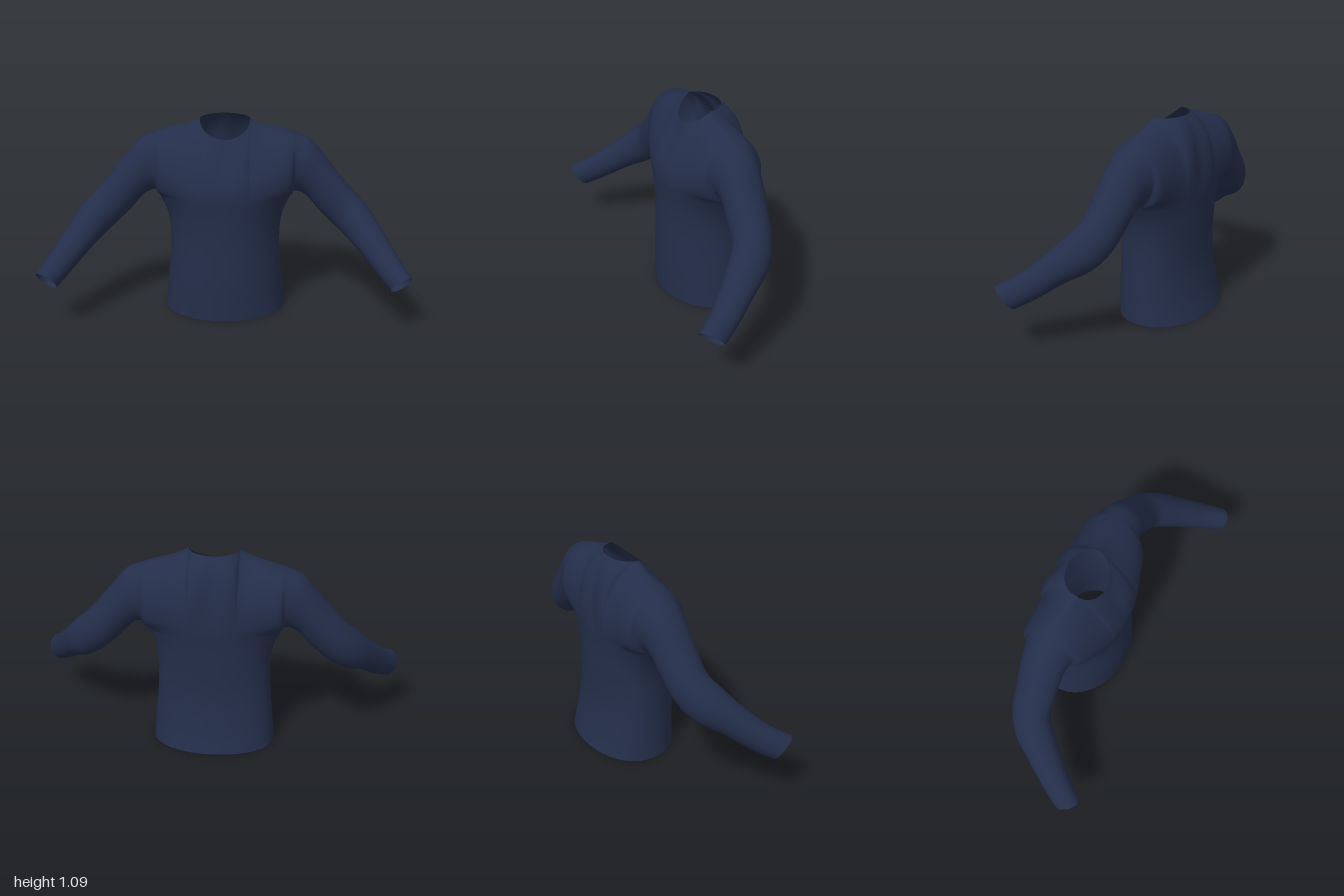
import * as THREE from 'three';
import { mergeVertices } from 'three/addons/utils/BufferGeometryUtils.js';

const NECK = 0.135, ARMPIT = 0.37, ARMPIT_Y = 0.68, MID_Z = -0.1, STEPS = 16;
const V = (x, y, z) => new THREE.Vector3(x, y, z);
const curve = (pts) => new THREE.CatmullRomCurve3(pts.map((p) => V(...p)), false, 'catmullrom');
const lerp = THREE.MathUtils.lerp;

// piecewise linear lookup in [[x, value], ...]
function lookup(table, x) {
  for (let i = 1; i < table.length; i++) {
    const [x0, a] = table[i - 1], [x1, b] = table[i];
    if (x <= x1) return lerp(a, b, (x - x0) / (x1 - x0));
  }
  return table[table.length - 1][1];
}

// body rings, evenly spaced from hem to armpit: half width, front z, back z
const bodyCurve = curve([
  [0.33, 0.155, -0.335], [0.322, 0.157, -0.31], [0.315, 0.16, -0.293],
  [0.307, 0.16, -0.28], [0.302, 0.157, -0.275], [0.3, 0.155, -0.276],
  [0.306, 0.155, -0.28], [0.327, 0.158, -0.283], [ARMPIT, 0.165, -0.29],
]);

// column positions: finer at the neck edge and at the sides
const half = [];
for (let i = 0; i <= 7; i++) half.push(NECK * Math.sin((Math.PI / 2) * i / 7));
for (let i = 1; i <= 11; i++) half.push(NECK + (ARMPIT - NECK) * Math.sin((Math.PI / 2) * i / 11));
const columns = [...half.slice(1).reverse().map((x) => -x), ...half];

// point on a body ring; side is +1 for the front, -1 for the back
function bodyPoint(x, t, side) {
  const r = bodyCurve.getPoint(t);
  const f = Math.min(1, Math.abs(x) / ARMPIT);
  const edge = side > 0 ? r.y : r.z;
  const depth = Math.pow(Math.max(0, 1 - f * f), side > 0 ? 0.5 : 0.42);
  return V(Math.sign(x) * f * r.x, t * ARMPIT_Y, MID_Z + (edge - MID_Z) * depth);
}

// curved column from armpit height to the collar or shoulder ridge
function upperPoint(x, s, side) {
  const ax = Math.abs(x), f = ax / ARMPIT, k = f ** 3;
  const p0 = bodyPoint(x, 1, side);
  let topY, topZ;
  if (ax < NECK) {
    const n = Math.sqrt(1 - (ax / NECK) ** 2);
    topY = side > 0 ? 1.09 - 0.088 * n : 1.09;
    topZ = -0.073 + 0.108 * n * side;
  } else {
    topY = lookup([[NECK, 1.09], [0.2, 1.062], [0.3, 1.033], [ARMPIT, 1.008]], ax);
    topZ = lookup([[NECK, -0.073], [ARMPIT, MID_Z]], ax);
  }
  const outZ = side > 0
    ? lookup([[0, 0.03], [NECK, 0.1], [ARMPIT, 0.18]], ax)
    : lookup([[0, -0.105], [NECK, -0.18], [ARMPIT, -0.18]], ax);
  const down = side > 0
    ? lookup([[0, 0.1], [NECK, 0.09], [ARMPIT, 0]], ax)
    : lookup([[0, 0.1], [NECK, 0.06], [ARMPIT, 0]], ax);
  const p1 = V(x, p0.y + lerp(0.13, 0, k), p0.z + side * lerp(0.01, 0.18, k));
  const p = new THREE.CubicBezierCurve3(p0, p1, V(x, topY - down, topZ + outZ), V(x, topY, topZ)).getPoint(s);
  // shallow groove along the spine
  if (side < 0) p.z += 0.014 * Math.sin(Math.PI * s) * Math.exp(-((x / 0.06) ** 2));
  return p;
}

// sleeve rings from shoulder to cuff: centre, upward radius, forward radius
const sleeveCentre = curve([
  [ARMPIT, 0.844, -0.1], [0.43, 0.825, -0.097], [0.49, 0.77, -0.093], [0.56, 0.685, -0.085],
  [0.645, 0.595, -0.07], [0.72, 0.525, -0.02], [0.8, 0.44, 0.08], [0.88, 0.35, 0.19], [0.94, 0.29, 0.287],
]);
const sleeveUp = curve([
  [0, 0.164, 0], [0.03, 0.145, 0], [0.045, 0.116, 0], [0.05, 0.105, 0],
  [0.046, 0.1, 0.015], [0.035, 0.092, 0.038], [0.03, 0.068, 0.04], [0.025, 0.06, 0.04], [0.022, 0.056, 0.044],
]);
const sleeveForward = curve([
  [0, 0, 0.135], [0, 0, 0.12], [0, 0, 0.113], [0, 0, 0.109],
  [-0.025, 0, 0.1], [-0.06, 0, 0.08], [-0.065, 0, 0.056], [-0.058, 0, 0.045], [-0.052, 0, 0.04],
]);

function sleeveRing(t) {
  const c = sleeveCentre.getPoint(t), up = sleeveUp.getPoint(t), fwd = sleeveForward.getPoint(t);
  const ring = [];
  for (let j = 0; j <= 2 * STEPS; j++) {
    const a = Math.PI * j / STEPS;
    ring.push(c.clone().addScaledVector(up, -Math.cos(a)).addScaledVector(fwd, Math.sin(a)));
  }
  return ring;
}

// skins rows of points into triangles
function skin(out, rows, flip) {
  const tri = (a, b, c) => (flip ? [a, c, b] : [a, b, c]).forEach((p) => out.push(p.x, p.y, p.z));
  for (let i = 0; i + 1 < rows.length; i++) {
    for (let j = 0; j + 1 < rows[i].length; j++) {
      const a = rows[i][j], b = rows[i][j + 1], c = rows[i + 1][j + 1], d = rows[i + 1][j];
      tri(a, b, c);
      tri(a, c, d);
    }
  }
}

export function createModel() {
  const navy = new THREE.MeshStandardMaterial({ color: 0x242e4a, side: THREE.DoubleSide });
  navy.name = 'navy cloth';
  const out = [];

  // front and back of the body, hem to collar
  for (const side of [1, -1]) {
    const rows = [];
    for (let i = 0; i < 24; i++) rows.push(columns.map((x) => bodyPoint(x, i / 24, side)));
    for (let j = 0; j <= STEPS; j++) rows.push(columns.map((x) => upperPoint(x, j / STEPS, side)));
    skin(out, rows, side < 0);
  }

  // sleeves, welded to the armhole columns
  const armhole = [];
  for (let j = 0; j <= STEPS; j++) armhole.push(upperPoint(ARMPIT, j / STEPS, 1));
  for (let j = STEPS - 1; j >= 0; j--) armhole.push(upperPoint(ARMPIT, j / STEPS, -1));
  const rings = [armhole];
  for (let i = 1; i <= 40; i++) rings.push(sleeveRing(i / 40));
  skin(out, rings, true);
  skin(out, rings.map((r) => r.map((p) => V(-p.x, p.y, p.z))), false);

  // one continuous smooth cloth
  let geometry = new THREE.BufferGeometry();
  geometry.setAttribute('position', new THREE.Float32BufferAttribute(out, 3));
  geometry = mergeVertices(geometry, 1e-4);
  geometry.computeVertexNormals();
  const shirt = new THREE.Mesh(geometry, navy);
  shirt.name = 'longSleeveShirt';

  const group = new THREE.Group();
  group.name = 'shirt';
  group.add(shirt);
  return group;
}
